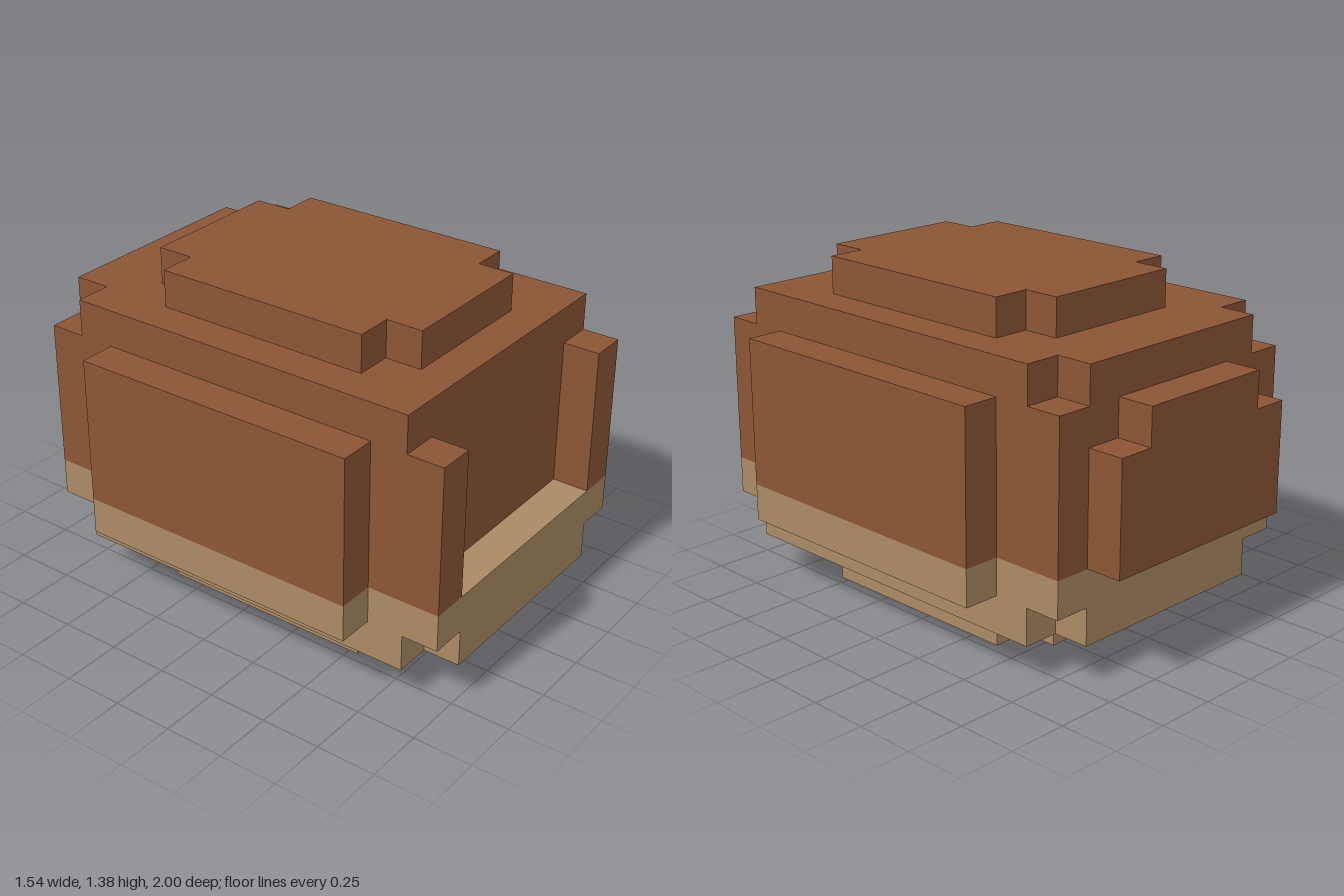
import * as THREE from 'three';

// One block of the grid; the body is 13 blocks long
const U = 2 / 13;

export function createModel() {
  const brown = new THREE.MeshStandardMaterial({ color: 0x8b5535 });
  brown.name = 'brown';
  const tan = new THREE.MeshStandardMaterial({ color: 0xab8a64 });
  tan.name = 'tan';

  const model = new THREE.Group();
  model.name = 'blockyBody';

  function add(name, geometry, material) {
    const mesh = new THREE.Mesh(geometry, material);
    mesh.name = name;
    model.add(mesh);
  }

  // Horizontal layer from y0 to y1; half is the +x outline [x, z] from back to front
  function layer(name, material, y0, y1, half) {
    const left = half.map(([x, z]) => new THREE.Vector2(x * U, -z * U));
    const right = left.map((p) => new THREE.Vector2(-p.x, p.y)).reverse();
    const geometry = new THREE.ExtrudeGeometry(new THREE.Shape([...left, ...right]), {
      depth: (y1 - y0) * U, bevelEnabled: false,
    });
    geometry.rotateX(-Math.PI / 2).translate(0, y0 * U, 0);
    add(name, geometry, material);
  }

  function box(name, material, [x0, x1], [y0, y1], [z0, z1]) {
    const geometry = new THREE.BoxGeometry((x1 - x0) * U, (y1 - y0) * U, (z1 - z0) * U);
    geometry.translate((x0 + x1) / 2 * U, (y0 + y1) / 2 * U, (z0 + z1) / 2 * U);
    add(name, geometry, material);
  }

  // Top and bottom plates with notched corners
  const plate = [[2, -3.5], [2, -2.5], [3, -2.5], [3, 3.5], [2, 3.5], [2, 4.5]];
  layer('bellyPlate', tan, 0, 1, plate);
  layer('topPlate', brown, 8, 9, plate);

  // Main body, bottom to top
  const backNotch = [[3, -5.5], [3, -4.5], [4, -4.5], [4, 5.5]];
  layer('lowerBody', tan, 1, 2, [...backNotch, [3, 5.5], [3, 6.5]]);
  layer('lowerBodyRim', tan, 2, 3, [[4, -5.5], [4, 6.5]]);
  layer('upperBody', brown, 3, 7, [[4, -5.5], [4, 6.5], [3, 6.5], [3, 5.5]]);
  layer('upperBodyCap', brown, 7, 8, backNotch);

  // Side panels, two-coloured
  for (const [side, xs] of [['left', [4, 5]], ['right', [-5, -4]]]) {
    box(side + 'PanelLower', tan, xs, [2, 3], [-3.5, 4.5]);
    box(side + 'PanelUpper', brown, xs, [3, 7], [-3.5, 4.5]);
  }

  // Back panel, narrower in its top row
  box('backPanel', brown, [-3, 3], [3, 6], [-6.5, -5.5]);
  box('backPanelTop', brown, [-2, 2], [6, 7], [-6.5, -5.5]);

  return model;
}
